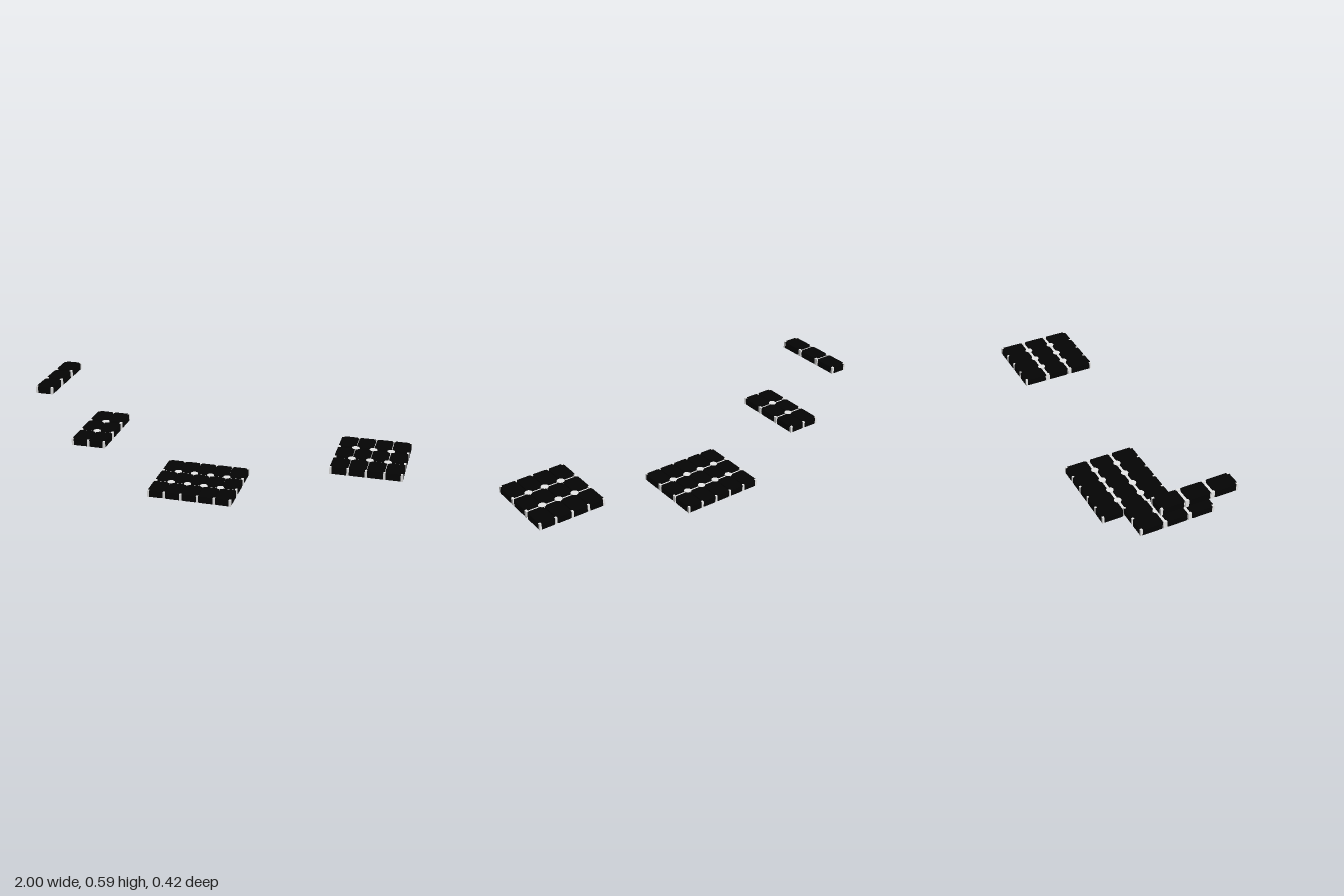
import * as THREE from 'three';

const HEIGHT = 0.037, DEPTH = 0.418, PITCH = 0.095, ROWS = 3;
const GAP_X = 0.005, GAP_Z = 0.02, CORNER = 0.014;
const PROUD = 0.0006; // how far pale parts stand out of the tiles

// Flat block with rounded corners, lying in the xz plane with its base on y = 0
function tileGeometry(w, d) {
  const x = w / 2, y = d / 2, r = CORNER;
  const s = new THREE.Shape();
  s.moveTo(-x + r, -y);
  s.lineTo(x - r, -y);
  s.quadraticCurveTo(x, -y, x, -y + r);
  s.lineTo(x, y - r);
  s.quadraticCurveTo(x, y, x - r, y);
  s.lineTo(-x + r, y);
  s.quadraticCurveTo(-x, y, -x, y - r);
  s.lineTo(-x, -y + r);
  s.quadraticCurveTo(-x, -y, -x + r, -y);
  const g = new THREE.ExtrudeGeometry(s, { depth: HEIGHT, bevelEnabled: false, curveSegments: 3 });
  return g.rotateX(-Math.PI / 2);
}

// Span of cell i out of n: outer cells run to the rim, inner sides leave half a gap
function span(i, n, total, gap) {
  const step = total / n;
  const a = -total / 2 + i * step + (i > 0 ? gap / 2 : 0);
  const b = -total / 2 + (i + 1) * step - (i < n - 1 ? gap / 2 : 0);
  return { mid: (a + b) / 2, size: b - a };
}

// Position of grid line i out of n, kept far enough inside to hold a post of this size
function gridLine(i, n, total, size) {
  const limit = (total - size) / 2 + PROUD;
  return THREE.MathUtils.clamp(-total / 2 + (i * total) / n, -limit, limit);
}

export function createModel() {
  const black = new THREE.MeshStandardMaterial({ color: 0x040404 });
  black.name = 'black';
  const pale = new THREE.MeshStandardMaterial({ color: 0xf0f0f0 });
  pale.name = 'paleGrey';

  const model = new THREE.Group();
  model.name = 'floatingPlatforms';

  const studHeight = HEIGHT + 2 * PROUD;
  const studGeometry = new THREE.CylinderGeometry(0.021, 0.021, studHeight, 12);

  // name, left edge, base height, number of columns
  const platforms = [
    ['highStep', -1, 0.55, 1],
    ['middleStep', -0.81, 0.263, 2],
    ['lowPlatform', -0.383, 0, 5],
    ['farPlatform', 0.62, 0.263, 4],
  ];

  for (const [name, left, base, columns] of platforms) {
    const width = columns * PITCH;
    const platform = new THREE.Group();
    platform.name = name;
    platform.position.set(left + width / 2, base, 0);

    const add = (partName, geometry, material, x, y, z) => {
      const mesh = new THREE.Mesh(geometry, material);
      mesh.name = partName;
      mesh.position.set(x, y, z);
      platform.add(mesh);
    };

    // Pale core, seen down the joints
    add('core', new THREE.BoxGeometry(width - 0.008, HEIGHT - 0.018, DEPTH - 0.016), pale, 0, HEIGHT / 2, 0);

    // Black tiles
    for (let c = 0; c < columns; c++) {
      for (let r = 0; r < ROWS; r++) {
        const sx = span(c, columns, width, GAP_X), sz = span(r, ROWS, DEPTH, GAP_Z);
        add('tile', tileGeometry(sx.size, sz.size), black, sx.mid, 0, sz.mid);
      }
    }

    // Pale studs where four tiles meet, pale posts where joints reach the rim
    for (let c = 0; c <= columns; c++) {
      for (let r = 0; r <= ROWS; r++) {
        const endX = c === 0 || c === columns, endZ = r === 0 || r === ROWS;
        const w = 0.012, d = endZ ? 0.012 : GAP_Z;
        const x = gridLine(c, columns, width, w), z = gridLine(r, ROWS, DEPTH, d);
        if (endX || endZ) add('rimPost', new THREE.BoxGeometry(w, studHeight, d), pale, x, HEIGHT / 2, z);
        else add('jointStud', studGeometry, pale, x, HEIGHT / 2, z);
      }
    }
    model.add(platform);
  }
  return model;
}
